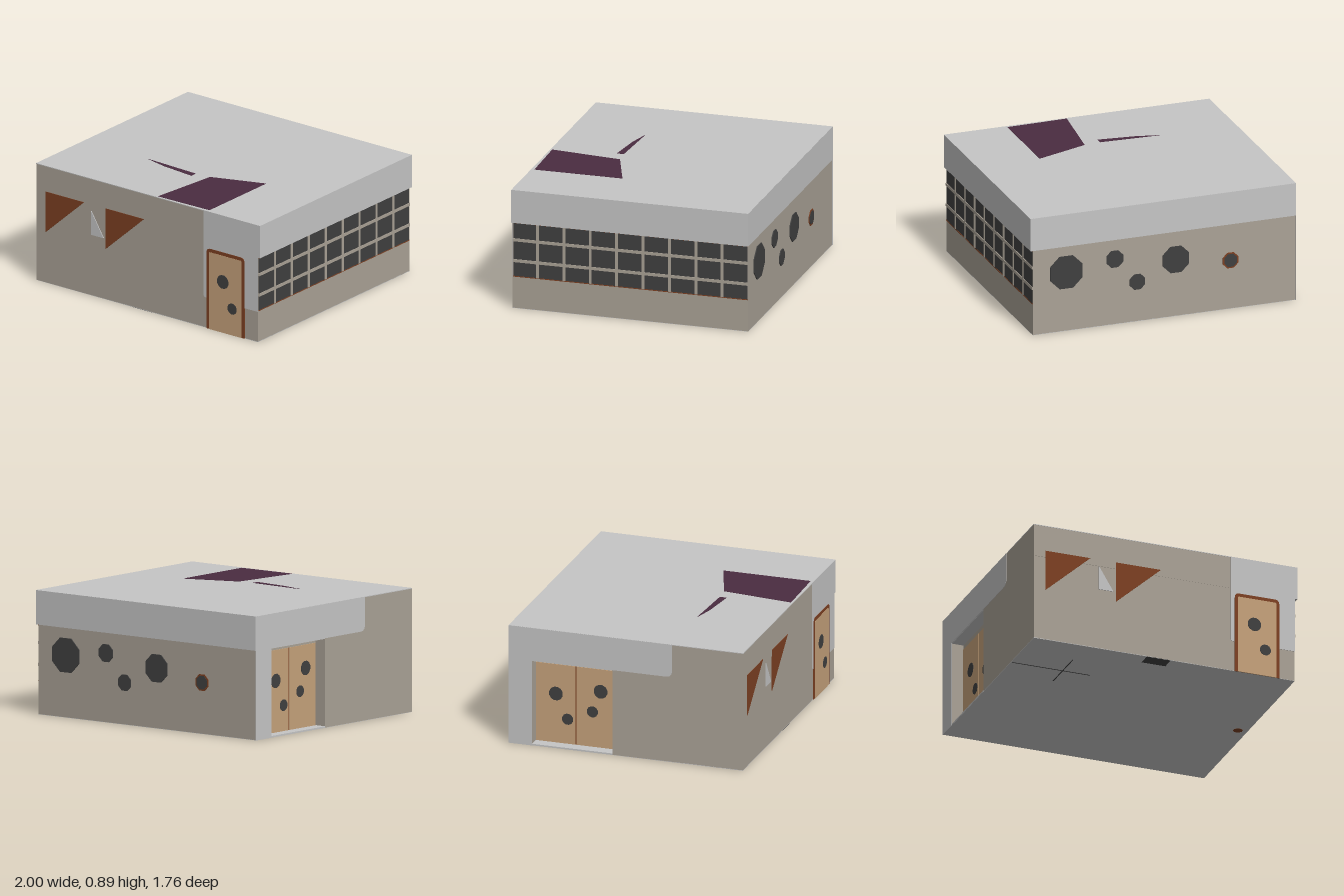
import * as THREE from 'three';

const mat = (name, color) => {
  const m = new THREE.MeshStandardMaterial({ color });
  m.name = name;
  return m;
};

export function createModel() {
  const root = new THREE.Group();
  root.name = 'building';
  const wall = mat('beige wall', 0xaaa296);
  const grey = mat('light grey cladding', 0xc5c5c5);
  const glass = mat('dark glass', 0x404040);
  const brown = mat('brown trim', 0x7d4022);
  const tan = mat('tan door', 0xc6a27b);
  const purple = mat('purple panel', 0x4a2c40);

  const add = (name, geo, m) => {
    const mesh = new THREE.Mesh(geo, m);
    mesh.name = name;
    root.add(mesh);
    return mesh;
  };
  // Box given by its low and high limits on each axis
  const box = (name, m, x0, x1, y0, y1, z0, z1) => {
    const g = new THREE.BoxGeometry(x1 - x0, y1 - y0, z1 - z0);
    g.translate((x0 + x1) / 2, (y0 + y1) / 2, (z0 + z1) / 2);
    return add(name, g, m);
  };
  const poly = (pts) => new THREE.Shape(pts.map(([x, y]) => new THREE.Vector2(x, y)));
  const disc = (x, y, r, n = 8) => {
    const pts = [];
    for (let i = 0; i < n; i++) {
      const a = ((i + 0.5) / n) * Math.PI * 2;
      pts.push([x + r * Math.cos(a), y + r * Math.sin(a)]);
    }
    return poly(pts);
  };
  const extrude = (shape, depth) => new THREE.ExtrudeGeometry(shape, { depth, bevelEnabled: false, curveSegments: 5 });
  // Plates: xy shape growing toward +z; zy shape growing toward -x; xz shape growing downward
  const plateZ = (name, m, shape, z, d = 0.003) => add(name, extrude(shape, d).translate(0, 0, z), m);
  const plateX = (name, m, shape, x, d = 0.003) => add(name, extrude(shape, d).rotateY(-Math.PI / 2).translate(x, 0, 0), m);
  const plateY = (name, m, shape, y, d = 0.003) => add(name, extrude(shape, d).rotateX(Math.PI / 2).translate(0, y, 0), m);

  // Main walls, with the entrance recess notched out of the left side
  const plan = poly([
    [-0.997, -0.87], [0.98, -0.87], [0.98, 0.872], [-0.997, 0.872],
    [-0.997, -0.1], [-0.91, -0.1], [-0.91, -0.7], [-0.997, -0.7],
  ]);
  plateY('walls', wall, plan, 0.64, 0.638);
  box('upperWalls', wall, -0.997, 0.98, 0.64, 0.88, -0.87, 0.874);
  box('roof', grey, -0.998, 1, 0.88, 0.885, -0.875, 0.875);
  box('base', grey, -0.997, 0.98, 0, 0.004, -0.87, 0.872);

  // Grey fascia on the right and back
  box('rightFascia', grey, 0.98, 1, 0.64, 0.884, -0.875, 0.875);
  box('backFascia', grey, -0.998, 0.99, 0.64, 0.884, -0.876, -0.869);

  // Left fascia with rounded end and a pillar down to the ground
  const leftPanel = poly([[-0.875, 0], [-0.7, 0], [-0.7, 0.64], [0.3, 0.64]]);
  leftPanel.quadraticCurveTo(0.345, 0.64, 0.345, 0.69);
  leftPanel.lineTo(0.345, 0.884);
  leftPanel.lineTo(-0.875, 0.884);
  plateX('leftFascia', grey, leftPanel, -0.997);
  box('recessCeiling', grey, -0.997, -0.91, 0.635, 0.64, -0.7, -0.1);
  box('recessFloor', grey, -0.998, -0.91, 0.002, 0.012, -0.7, -0.1);

  // Front grey corner panel with one rounded corner
  const corner = poly([[0.98, 0.23], [0.98, 0.884], [0.495, 0.884], [0.495, 0.25]]);
  corner.quadraticCurveTo(0.495, 0.23, 0.515, 0.23);
  plateZ('frontCornerPanel', grey, corner, 0.872);

  // Front door with rounded brown frame and round windows
  const arch = (x0, x1, top, r) => {
    const s = poly([[x0, 0], [x1, 0], [x1, top - r]]);
    s.quadraticCurveTo(x1, top, x1 - r, top);
    s.lineTo(x0 + r, top);
    s.quadraticCurveTo(x0, top, x0, top - r);
    return s;
  };
  plateZ('frontDoorFrame', brown, arch(0.525, 0.862, 0.607, 0.035), 0.872, 0.006);
  plateZ('frontDoor', tan, arch(0.547, 0.839, 0.582, 0.012), 0.874, 0.006);
  plateZ('frontDoorWindow', glass, disc(0.672, 0.385, 0.052, 12), 0.877, 0.005);
  plateZ('frontDoorWindow', glass, disc(0.755, 0.2, 0.042, 12), 0.877, 0.005);

  // Triangular panels on the front wall
  for (const x of [-0.91, -0.375]) {
    plateZ('frontTriangle', brown, poly([[x, 0.385], [x + 0.34, 0.69], [x, 0.69]]), 0.872, 0.005);
  }
  plateZ('smallTriangle', grey, poly([[-0.505, 0.46], [-0.395, 0.46], [-0.505, 0.64]]), 0.872, 0.005);

  // Right window band with a grid of glazing bars
  box('rightGlass', glass, 0.978, 0.983, 0.24, 0.64, -0.865, 0.865);
  for (let i = 0; i < 8; i++) {
    const z = 0.685 - i * 0.195;
    box('verticalBar', wall, 0.98, 0.988, 0.24, 0.64, z - 0.01, z + 0.01);
  }
  for (const y of [0.51, 0.355]) box('horizontalBar', wall, 0.98, 0.988, y - 0.011, y + 0.011, -0.868, 0.868);
  for (const y of [0.238, 0.637]) box('windowEdge', brown, 0.98, 0.985, y - 0.003, y + 0.003, -0.868, 0.868);

  // Octagonal windows on the back
  const backWindows = [
    [0.73, 0.445, 0.132], [0.365, 0.495, 0.068], [0.195, 0.3, 0.062], [-0.095, 0.43, 0.107], [-0.507, 0.367, 0.052],
  ];
  for (const [x, y, r] of backWindows) plateZ('backWindow', glass, disc(x, y, r), -0.877, 0.008);
  plateZ('backWindowRim', brown, disc(-0.507, 0.367, 0.063), -0.874, 0.005);

  // Double doors inside the recess
  for (const z of [-0.698, -0.396]) {
    box('recessDoor', tan, -0.915, -0.909, 0.012, 0.6, z, z + 0.292);
  }
  box('doorGap', brown, -0.913, -0.909, 0.012, 0.6, -0.406, -0.396);
  for (const [z, y, r] of [[-0.217, 0.434, 0.052], [-0.278, 0.275, 0.042], [-0.463, 0.197, 0.042], [-0.55, 0.38, 0.052]]) {
    plateX('recessDoorWindow', glass, disc(z, y, r, 12), -0.914, 0.004);
  }

  // Purple panels lying on the roof
  plateY('roofPanel', purple, poly([[0.14, 0.34], [0.53, 0.2], [0.53, 0.85], [0.08, 0.86]]), 0.887);
  plateY('roofStrip', purple, poly([[-0.42, 0.33], [0.02, 0.35], [0.02, 0.4], [-0.25, 0.37]]), 0.887);

  // Small marks under the base
  box('basePlate', glass, -0.14, 0.04, -0.001, 0.002, 0.77, 0.872);
  box('baseLine', glass, -0.99, -0.4, -0.001, 0.002, 0.43, 0.438);
  box('baseLine', glass, -0.61, -0.602, -0.001, 0.002, 0.25, 0.63);
  plateY('baseDisc', brown, disc(0.91, -0.04, 0.035), 0.002);

  return root;
}
